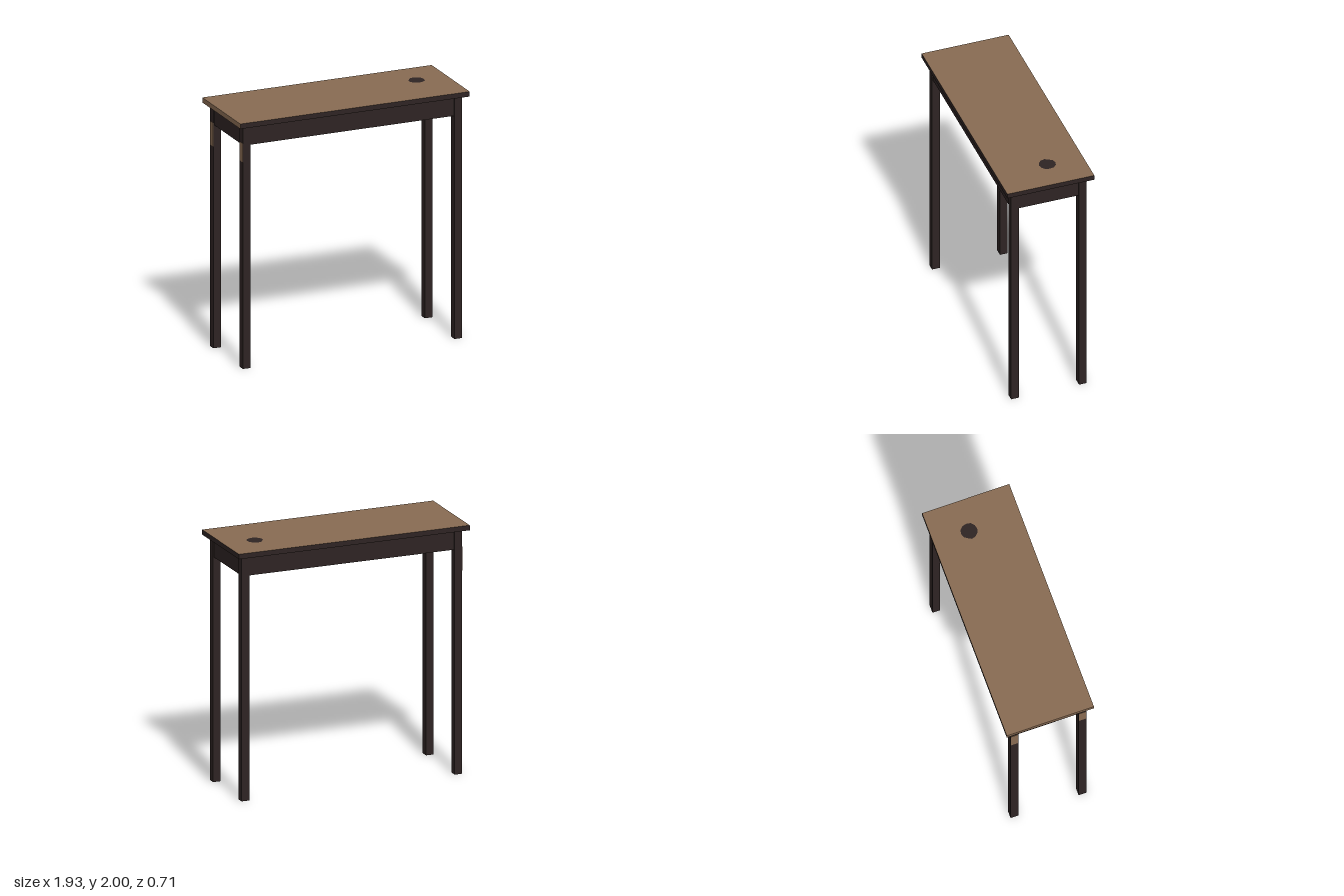
import * as THREE from 'three';

export function createModel() {
  const table = new THREE.Group();
  table.name = 'console table';

  const dark = new THREE.MeshStandardMaterial({ color: 0x2e2423 });
  dark.name = 'dark wood';
  const tan = new THREE.MeshStandardMaterial({ color: 0x896c53 });
  tan.name = 'tan wood';

  function box(name, size, position, material = dark) {
    const mesh = new THREE.Mesh(new THREE.BoxGeometry(...size), material);
    mesh.name = name;
    mesh.position.set(...position);
    table.add(mesh);
    return mesh;
  }

  // Top: tan upper face and -x edge, dark elsewhere
  box('tabletop', [1.93, 0.04, 0.71], [0, 1.98, 0], [dark, tan, tan, dark, dark, dark]);

  // Square legs at the four corners
  const legSize = 0.063, legX = 0.89, legZ = 0.277, legHeight = 1.96;
  for (const sx of [-1, 1]) {
    for (const sz of [-1, 1]) {
      box('leg', [legSize, legHeight, legSize], [sx * legX, legHeight / 2, sz * legZ]);
    }
  }

  // Aprons between the legs, set slightly in from their outer faces
  const apronHeight = 0.158, apronY = 1.881, apronThickness = 0.04;
  for (const s of [-1, 1]) {
    box('longApron', [2 * legX - legSize, apronHeight, apronThickness], [0, apronY, s * 0.28]);
    box('shortApron', [apronThickness, apronHeight, 2 * legZ - legSize], [s * 0.893, apronY, 0]);
  }

  // Bare wood patches on the outer faces of the -x legs
  for (const [z, bottom, top] of [[-legZ, 1.63, 1.82], [legZ, 1.67, 1.82]]) {
    box('wornPatch', [0.004, top - bottom, legSize - 0.004],
      [-legX - legSize / 2, (top + bottom) / 2, z], tan);
  }

  // Uneven dark knot on the top
  const radii = [0.064, 0.066, 0.067, 0.066, 0.064, 0.058, 0.066, 0.066, 0.066, 0.066, 0.066, 0.068];
  const outline = radii.map((r, i) => {
    const a = (i / radii.length) * Math.PI * 2;
    return new THREE.Vector2(r * Math.cos(a), r * Math.sin(a));
  });
  const knot = new THREE.Mesh(new THREE.ShapeGeometry(new THREE.Shape(outline)), dark);
  knot.name = 'knot';
  knot.rotation.x = -Math.PI / 2;
  knot.position.set(0.705, 2.002, -0.065);
  table.add(knot);

  return table;
}
